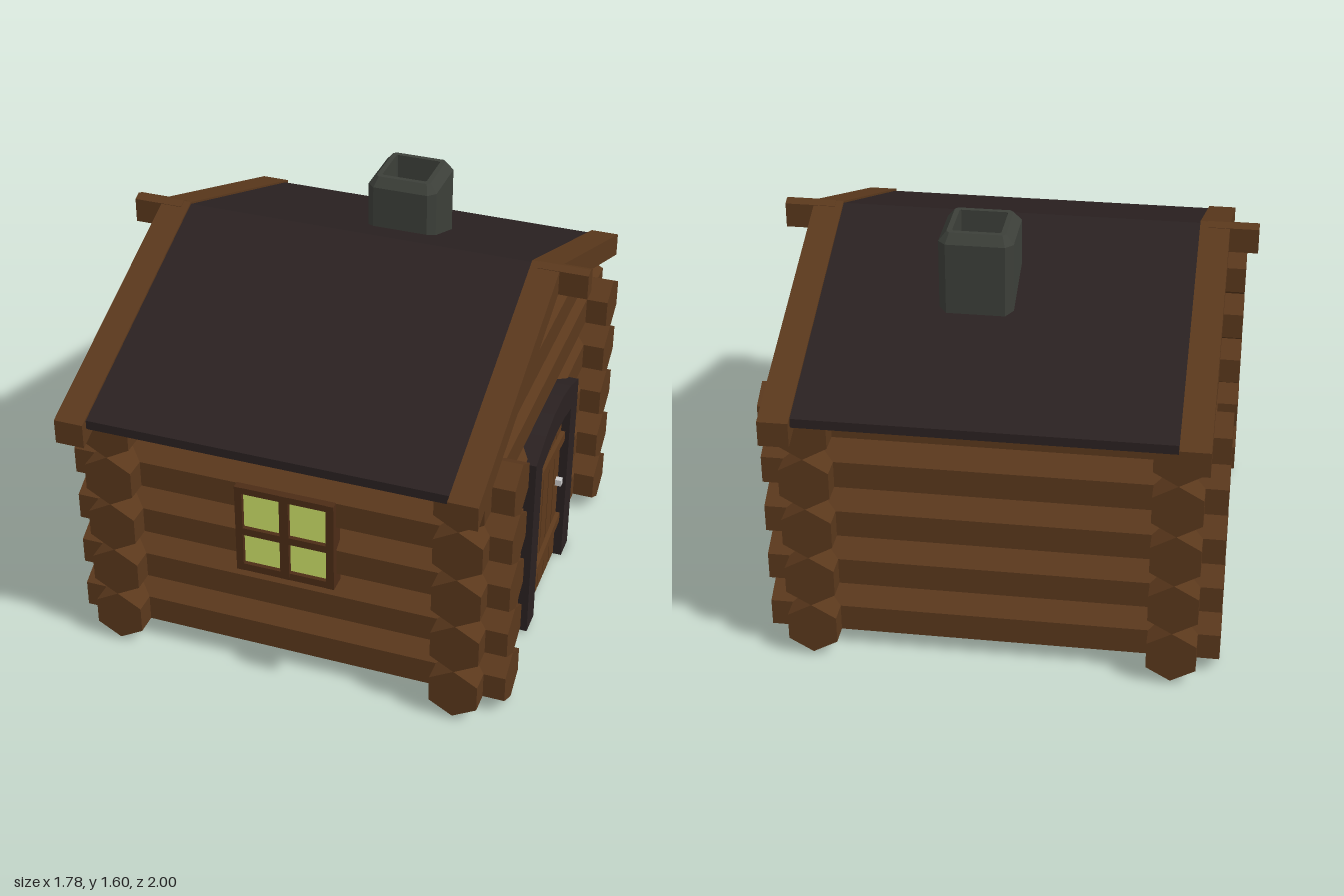
import * as THREE from 'three';

const mat = (color, side = THREE.FrontSide) =>
  new THREE.MeshStandardMaterial({ color, flatShading: true, side });
const wood = mat(0x5a381c), woodTwoSided = mat(0x5a381c, THREE.DoubleSide);
const trim = mat(0x4c2c16), plankWood = mat(0x5e3a1c), dark = mat(0x2a2121);
const stone = mat(0x3c3f39, THREE.DoubleSide), glass = mat(0xcfe268), metal = mat(0xcccccc);

export function createModel() {
  const model = new THREE.Group();
  const group = (name) => {
    const g = new THREE.Group();
    g.name = name;
    model.add(g);
    return g;
  };
  const add = (parent, name, geo, material) => {
    const m = new THREE.Mesh(geo, material);
    m.name = name;
    parent.add(m);
    return m;
  };
  // box given by its min and max on each axis
  const box = (parent, name, material, [x0, x1], [y0, y1], [z0, z1]) =>
    add(parent, name, new THREE.BoxGeometry(x1 - x0, y1 - y0, z1 - z0)
      .translate((x0 + x1) / 2, (y0 + y1) / 2, (z0 + z1) / 2), material);
  // outline of [z, y] points, extruded from x0 to x1
  const extrudeX = (points, x0, x1) =>
    new THREE.ExtrudeGeometry(new THREE.Shape(points.map(([z, y]) => new THREE.Vector2(z, y))),
      { depth: x1 - x0, bevelEnabled: false }).rotateY(-Math.PI / 2).translate(x1, 0, 0);

  // walls: five courses of hexagonal logs crossing at the corners
  const R = 0.106, WALL = 0.67, HALF = 0.845, SLOPE = 0.39;
  const walls = group('logWalls');
  const logX = new THREE.CylinderGeometry(R, R, HALF * 2, 6, 1, false, Math.PI / 6).rotateZ(Math.PI / 2);
  const logZ = logX.clone().rotateY(Math.PI / 2);
  for (let i = 0; i < 5; i++) {
    const y = 0.121 + i * 0.2115;
    for (const s of [-1, 1]) {
      add(walls, 'longWallLog', logX, wood).position.set(0, y, s * WALL);
      add(walls, 'endWallLog', logZ, wood).position.set(s * WALL, y, 0);
    }
  }
  box(walls, 'floor', wood, [-WALL, WALL], [0.016, 0.05], [-WALL, WALL]);
  for (const s of [-1, 1])
    box(walls, 'wallPlate', wood, [-WALL, WALL], [1.04, 1.17], [s * WALL - 0.04, s * WALL + 0.04]);

  // gables: the log profile continued upward and trimmed under the roof
  const rows = [[1.07, 0], [1.125, 0.09], [1.23, 0.09], [1.283, 0], [1.336, 0.09], [1.44, 0.09]];
  for (const s of [-1, 1]) {
    const pos = [], index = [];
    rows.forEach(([y, off], i) => {
      const w = Math.min(0.84, (1.46 - y) / SLOPE);
      pos.push(s * (WALL + off), y, -w, s * (WALL + off), y, w);
      if (i) {
        const a = 2 * i - 2;
        if (s > 0) index.push(a, a + 2, a + 1, a + 1, a + 2, a + 3);
        else index.push(a, a + 1, a + 2, a + 1, a + 3, a + 2);
      }
    });
    const geo = new THREE.BufferGeometry();
    geo.setAttribute('position', new THREE.Float32BufferAttribute(pos, 3));
    geo.setIndex(index);
    geo.computeVertexNormals();
    add(walls, 'gable', geo, woodTwoSided);
  }

  // roof: dark slabs, bargeboards and ridge beam ends
  const roof = group('roof');
  const chevron = (top, reach, thick) => [
    [-reach, top - reach * SLOPE], [-reach, top - reach * SLOPE - thick], [0, top - thick],
    [reach, top - reach * SLOPE - thick], [reach, top - reach * SLOPE], [0, top]];
  add(roof, 'roofSlabs', extrudeX(chevron(1.482, 0.97, 0.035), -0.68, 0.68), dark);
  const beam = [[-0.03, 1.385], [0.03, 1.385], [0.03, 1.48], [0, 1.492], [-0.03, 1.48]];
  for (const s of [-1, 1]) {
    const span = (a, b) => (s > 0 ? [a, b] : [-b, -a]);
    add(roof, 'bargeboard', extrudeX(chevron(1.49, 1, 0.095), ...span(0.672, 0.782)), wood);
    add(roof, 'ridgeBeamEnd', extrudeX(beam, ...span(0.7, 0.89)), wood);
  }

  // chimney: chamfered square rings lofted up the outside and down the flue
  const ring = (h, c) => [[h, c - h], [h, h - c], [h - c, h], [c - h, h],
    [-h, h - c], [-h, c - h], [c - h, -h], [h - c, -h]];
  const levels = [[0.135, 0.028, 1.27], [0.135, 0.028, 1.565], [0.107, 0.012, 1.6],
    [0.088, 0.005, 1.6], [0.088, 0.005, 1.4], [0.001, 0.0002, 1.4]];
  const cp = [], ci = [];
  levels.forEach(([h, c, y], k) => {
    ring(h, c).forEach(([x, z], j) => {
      cp.push(x + 0.097, y, z - 0.345);
      if (!k) return;
      const a = (k - 1) * 8 + j, b = (k - 1) * 8 + (j + 1) % 8;
      ci.push(a, a + 8, b, b, a + 8, b + 8);
    });
  });
  const chimney = new THREE.BufferGeometry();
  chimney.setAttribute('position', new THREE.Float32BufferAttribute(cp, 3));
  chimney.setIndex(ci);
  chimney.computeVertexNormals();
  add(model, 'chimney', chimney, stone);

  // window: four lit panes in a cross-barred frame
  const win = group('window');
  const depth = [0.72, 0.79];
  box(win, 'panes', glass, [-0.17, 0.17], [0.45, 0.795], [0.72, 0.772]);
  for (const [a, b] of [[-0.193, -0.165], [-0.02, 0.015], [0.16, 0.19]])
    box(win, 'uprightBar', trim, [a, b], [0.435, 0.81], depth);
  for (const [a, b] of [[0.435, 0.465], [0.598, 0.628], [0.783, 0.81]])
    box(win, 'crossBar', trim, [-0.19, 0.188], [a, b], [0.72, 0.789]);

  // door: arched dark frame, five planks, two slanted braces and a knob
  const door = group('door');
  add(door, 'doorFrame', extrudeX([
    [0.29, 0.015], [0.29, 0.8], [0.16, 0.848], [0.04, 0.872], [-0.09, 0.872], [-0.21, 0.848], [-0.34, 0.8],
    [-0.34, 0], [-0.24, 0], [-0.235, 0.725], [-0.13, 0.748], [-0.025, 0.755], [0.08, 0.748], [0.19, 0.725],
    [0.19, 0.015]], 0.73, 0.802), dark);
  for (let i = 0; i < 5; i++) {
    const z = 0.19 - i * 0.085;
    box(door, 'plank', plankWood, [0.72, 0.77], [0.015, 0.77], [z - 0.08, z - 0.004]);
  }
  for (const [yLeft, yRight] of [[0.61, 0.575], [0.14, 0.178]])
    add(door, 'brace', extrudeX([[0.19, yLeft], [0.19, yLeft + 0.042],
      [-0.23, yRight + 0.042], [-0.23, yRight]], 0.76, 0.787), plankWood);
  box(door, 'knob', metal, [0.765, 0.795], [0.385, 0.412], [-0.207, -0.181]);

  return model;
}
